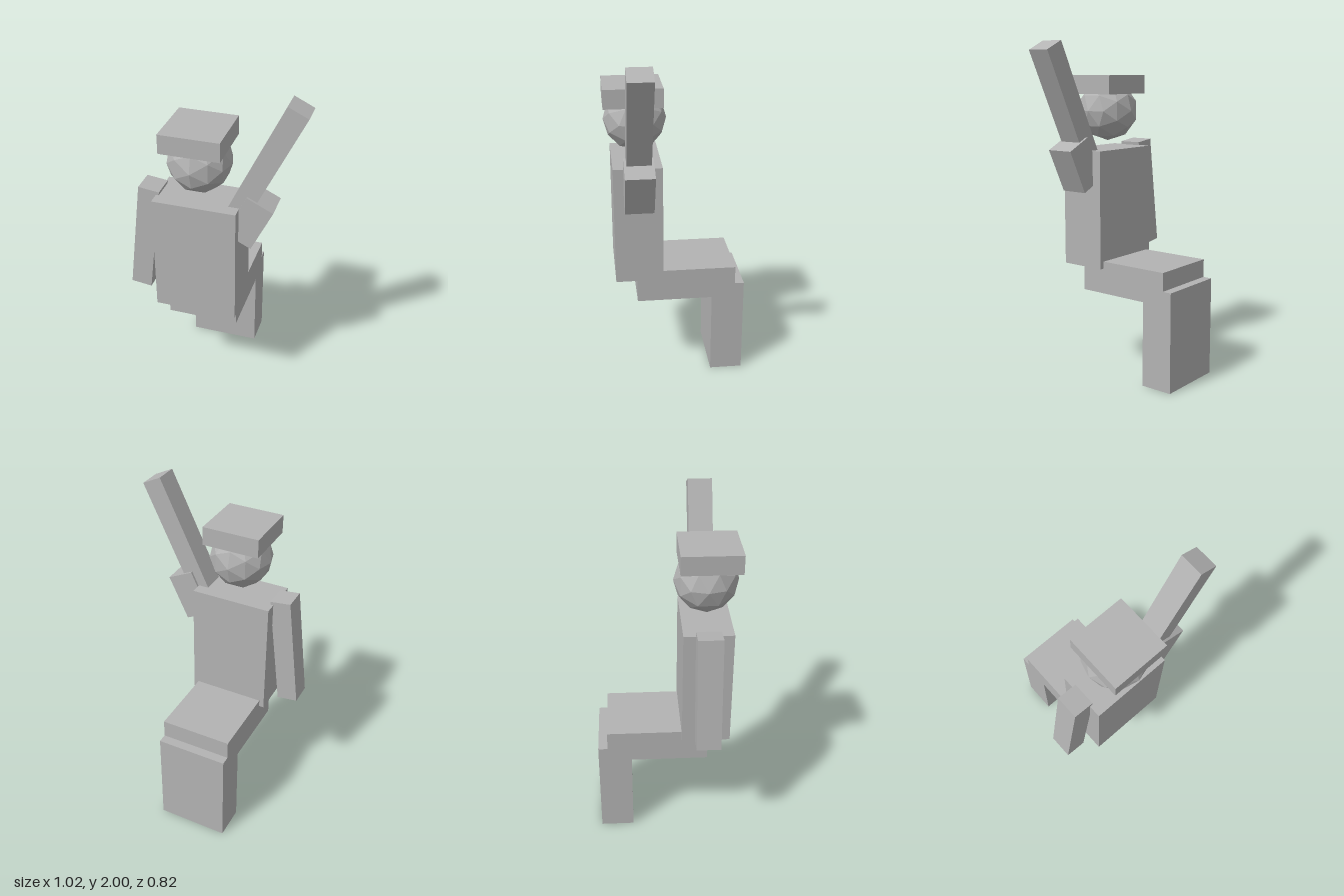
import * as THREE from 'three';

export function createModel() {
  const group = new THREE.Group();
  const grey = new THREE.MeshStandardMaterial({ color: 0xb3b3b3, flatShading: true });
  grey.name = 'grey';

  function add(name, geometry, x, y, z, tilt = 0) {
    const mesh = new THREE.Mesh(geometry, grey);
    mesh.name = name;
    mesh.position.set(x, y, z);
    mesh.rotation.z = THREE.MathUtils.degToRad(tilt);
    group.add(mesh);
  }
  const box = (w, h, d) => new THREE.BoxGeometry(w, h, d);

  // body, faceted head and square cap
  add('torso', box(0.48, 0.706, 0.282), -0.083, 1.02, 0.226);
  add('head', new THREE.IcosahedronGeometry(0.183, 1), -0.084, 1.6, 0.225);
  add('cap', box(0.338, 0.11, 0.338), -0.083, 1.755, 0.24);

  // seated legs, bent backwards
  add('thighs', box(0.423, 0.197, 0.593), -0.083, 0.6115, -0.0565);
  add('shins', box(0.423, 0.6, 0.197), -0.083, 0.3, -0.31);

  // hanging right arm
  add('rightArm', box(0.123, 0.673, 0.14), -0.406, 1.065, 0.225, -7);

  // raised left arm, its lower end set into the shoulder
  add('leftShoulder', box(0.165, 0.279, 0.168), 0.214, 1.293, 0.225, -25.7);
  add('leftArm', box(0.122, 0.74, 0.14), 0.292, 1.642, 0.225, -25.7);

  return group;
}
